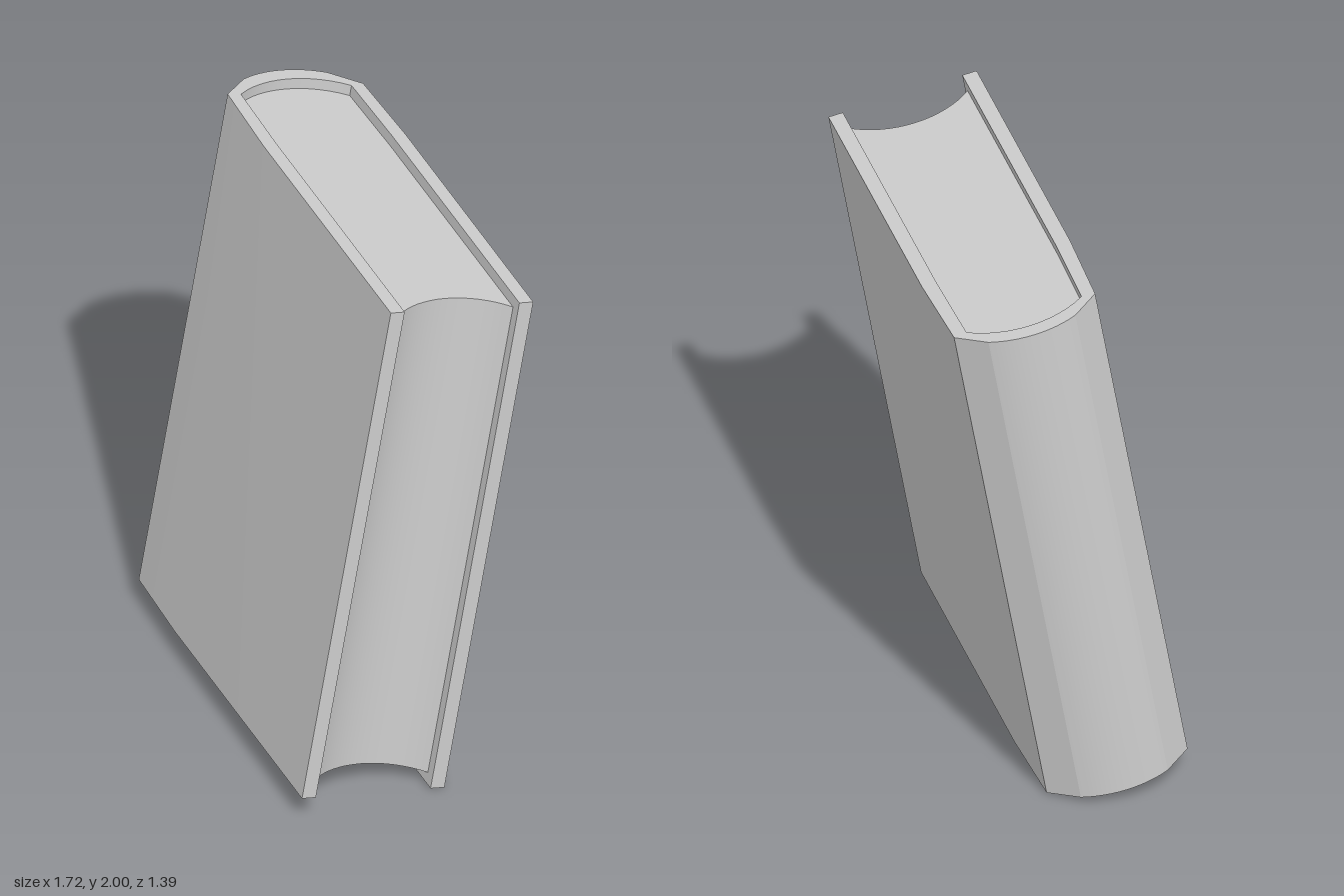
import * as THREE from 'three';
import { toCreasedNormals } from 'three/addons/utils/BufferGeometryUtils.js';

const HEIGHT = 1.937, LIP = 0.04;

// Circular arc from z = +half to z = -half, bulging by sag towards -x.
function arc(x, half, sag, steps = 12) {
  const r = (half * half + sag * sag) / (2 * sag);
  const a = Math.asin(half / r);
  return Array.from({ length: steps + 1 }, (_, i) => {
    const t = a - (2 * a * i) / steps;
    return [x - sag + r * (1 - Math.cos(t)), r * Math.sin(t)];
  });
}

// Upright prism from a plan outline, centred on y = 0.
function prism(name, outline, height, material) {
  const shape = new THREE.Shape(outline.map(([x, z]) => new THREE.Vector2(x, z)));
  const geo = new THREE.ExtrudeGeometry(shape, { depth: height, bevelEnabled: false });
  geo.translate(0, 0, -height / 2).rotateX(-Math.PI / 2);
  const mesh = new THREE.Mesh(toCreasedNormals(geo, 0.2), material);
  mesh.name = name;
  return mesh;
}

export function createModel() {
  const material = new THREE.MeshStandardMaterial({ color: 0xcccccc });
  const model = new THREE.Group();
  model.name = 'book';

  // Boards taper slightly from the hinge to a rounded spine
  const outer = [
    [0.742, 0.268], [-0.376, 0.268], [-0.72, 0.255],
    ...arc(-0.807, 0.157, 0.038),
    [-0.72, -0.255], [-0.376, -0.268], [0.742, -0.268],
  ];
  const innerSpine = arc(-0.712, 0.208, 0.073);
  const inner = [[-0.376, 0.216], ...innerSpine, [-0.376, -0.216]];
  const cover = prism('cover', [
    ...outer, [0.742, -0.216], ...[...inner].reverse(), [0.742, 0.216],
  ], HEIGHT, material);

  // Page block with a hollow fore edge, set back from the boards
  const foreEdge = arc(0.702, 0.216, 0.088, 16).reverse();
  const pages = prism('pages', [...inner, ...foreEdge], HEIGHT - 2 * LIP, material);

  // Lean the book back and turn it
  const book = new THREE.Group();
  book.name = 'leaningBook';
  book.rotation.set(THREE.MathUtils.degToRad(-9.8), THREE.MathUtils.degToRad(-25.2), 0, 'YXZ');
  book.add(cover, pages);
  model.add(book);

  // Centre it and stand it on the ground
  model.updateMatrixWorld(true);
  const box = new THREE.Box3().setFromObject(model, true);
  const mid = box.getCenter(new THREE.Vector3());
  book.position.set(-mid.x, -box.min.y, -mid.z);
  return model;
}
